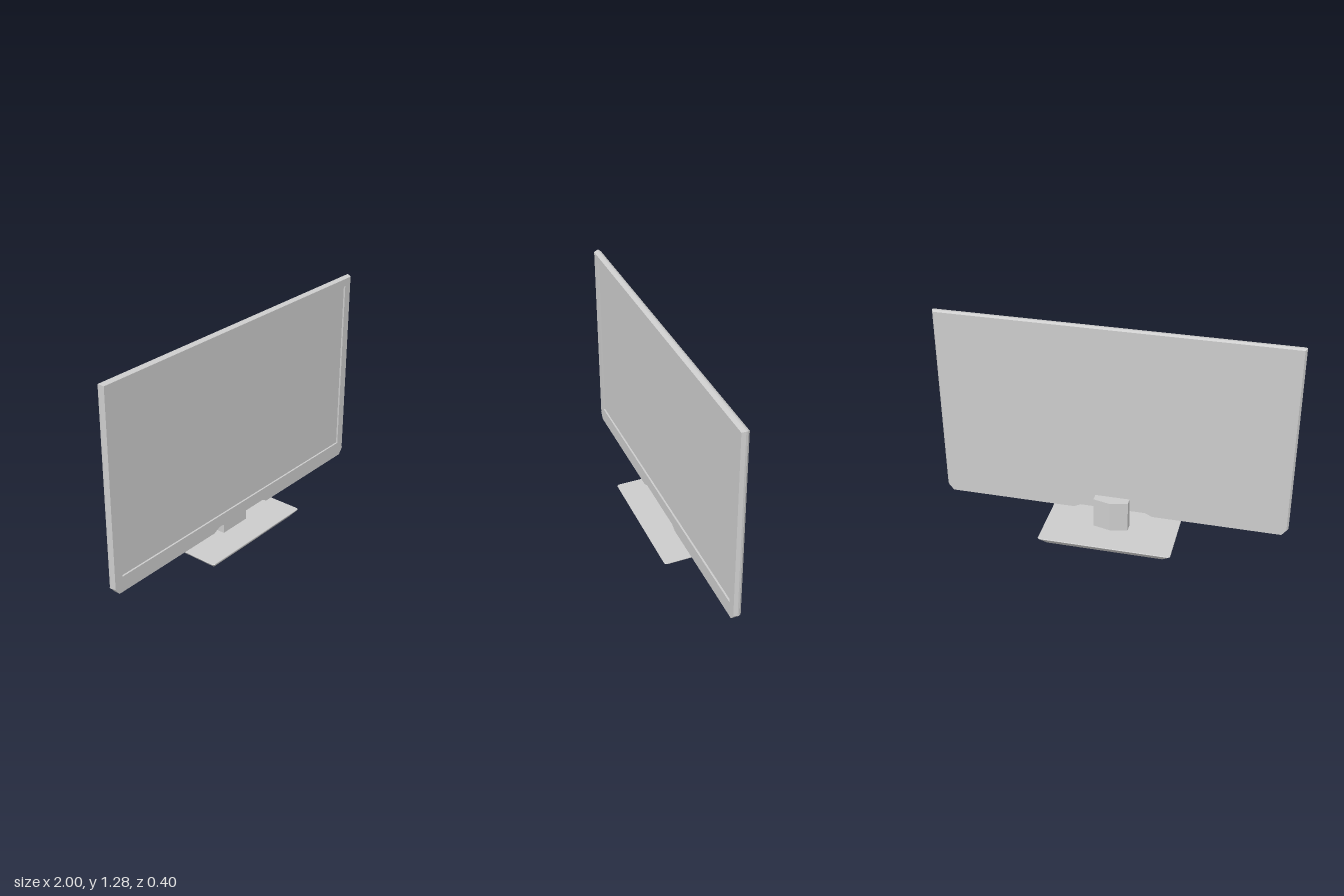
import * as THREE from 'three';

const material = new THREE.MeshStandardMaterial({ color: 0xcccccc, flatShading: true });

// Rectangle loop at depth z, counter-clockwise from +z, with optional cut corners
function rect(hx, y0, y1, z, c = 0) {
  if (!c) return [[-hx, y0, z], [hx, y0, z], [hx, y1, z], [-hx, y1, z]];
  return [[-hx + c, y0, z], [hx - c, y0, z], [hx, y0 + c, z], [hx, y1 - c, z],
    [hx - c, y1, z], [-hx + c, y1, z], [-hx, y1 - c, z], [-hx, y0 + c, z]];
}

// Skin joining equal-sized loops, closed at both ends
function loft(loops) {
  const n = loops[0].length, last = (loops.length - 1) * n, index = [];
  for (let l = 0; l < last; l += n) {
    for (let i = 0; i < n; i++) {
      const a = l + i, b = l + (i + 1) % n;
      index.push(a, b, b + n, a, b + n, a + n);
    }
  }
  for (let i = 1; i < n - 1; i++) {
    index.push(0, i + 1, i, last, last + i, last + i + 1);
  }
  const g = new THREE.BufferGeometry();
  g.setAttribute('position', new THREE.Float32BufferAttribute(loops.flat(2), 3));
  g.setIndex(index);
  const flat = g.toNonIndexed();
  flat.computeVertexNormals();
  return flat;
}

function extrude(points, depth) {
  const shape = new THREE.Shape(points.map(([x, y]) => new THREE.Vector2(x, y)));
  return new THREE.ExtrudeGeometry(shape, { depth, bevelEnabled: false });
}

export function createModel() {
  const model = new THREE.Group();
  model.name = 'television';
  const add = (name, geometry) => {
    const mesh = new THREE.Mesh(geometry, material);
    mesh.name = name;
    model.add(mesh);
  };

  // Thin panel with a ridge round its edge and a recessed screen
  add('panelAndScreen', loft([
    rect(0.99, 0.165, 1.278, 0.04),
    rect(1, 0.165, 1.285, 0.052),
    rect(1, 0.165, 1.285, 0.062),
    rect(0.99, 0.165, 1.278, 0.081),
    rect(0.94, 0.215, 1.235, 0.081),
    rect(0.94, 0.215, 1.235, 0.071),
  ]));

  // Lower bezel with cut corners and a shallow notch above the stand
  const half = [[0.19, 0.145], [0.23, 0.125], [0.965, 0.125], [0.995, 0.165]];
  const mirrored = half.map(([x, y]) => [-x, y]).reverse();
  add('lowerBezel', extrude([...mirrored, ...half], 0.038).translate(0, 0, 0.043));

  // Neck with a pointed back
  add('neck', extrude(
    [[-0.1, -0.036], [0.1, -0.036], [0.1, 0.009], [0, 0.033], [-0.1, 0.009]], 0.187,
  ).rotateX(-Math.PI / 2).translate(0, 0.043, 0));

  // Base widening upwards from its footprint
  add('base', loft([
    rect(0.34, -0.168, 0.168, 0, 0.006),
    rect(0.378, -0.2, 0.2, 0.039, 0.01),
    rect(0.382, -0.202, 0.202, 0.043, 0.01),
    rect(0.38, -0.2, 0.2, 0.046, 0.01),
  ]).rotateX(-Math.PI / 2));

  return model;
}
